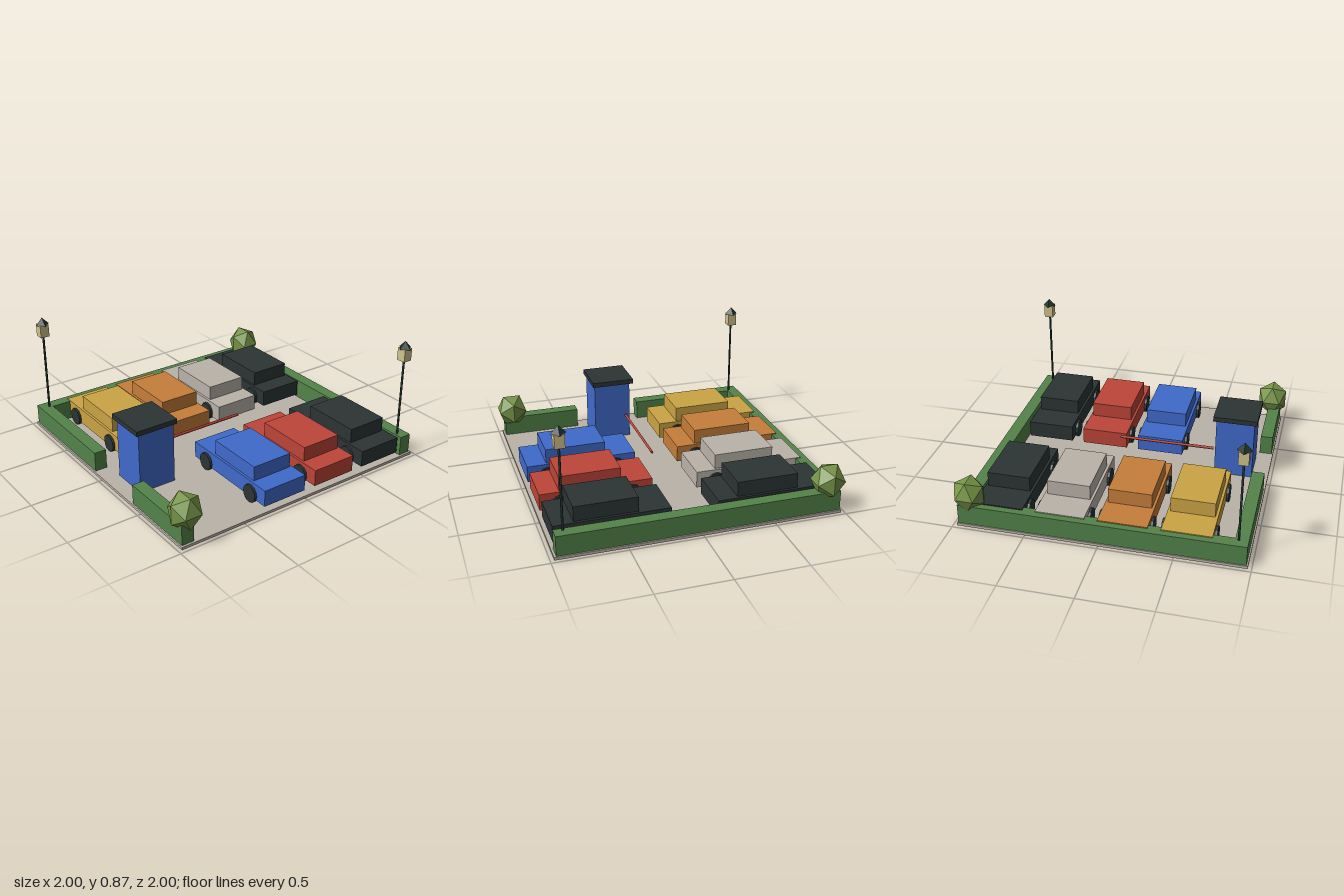
import * as THREE from 'three';

const mat = (name, color) => {
  const m = new THREE.MeshStandardMaterial({ color });
  m.name = name;
  return m;
};

export function createModel() {
  const concrete = mat('concrete grey', 0xbab3a9);
  const dark = mat('charcoal', 0x2c3434);
  const lampDark = mat('lamp dark green', 0x22352f);
  const hedgeGreen = mat('hedge green', 0x54834a);
  const bushGreen = mat('bush green', 0x779548);
  const lampGlass = mat('lantern cream', 0xd2c28c);
  const yellow = mat('yellow', 0xcba544);
  const orange = mat('orange', 0xc67e3b);
  const blue = mat('blue', 0x406acb);
  const red = mat('red', 0xbd4539);

  const model = new THREE.Group();
  model.name = 'parkingLot';

  const add = (parent, name, geometry, material, x, y, z) => {
    const mesh = new THREE.Mesh(geometry, material);
    mesh.name = name;
    mesh.position.set(x, y, z);
    parent.add(mesh);
    return mesh;
  };
  // Box given by its extents on each axis
  const block = (parent, name, material, [x0, x1], [y0, y1], [z0, z1]) =>
    add(parent, name, new THREE.BoxGeometry(x1 - x0, y1 - y0, z1 - z0), material,
      (x0 + x1) / 2, (y0 + y1) / 2, (z0 + z1) / 2);
  const group = (name, x, z) => {
    const g = new THREE.Group();
    g.name = name;
    g.position.set(x, 0, z);
    model.add(g);
    return g;
  };

  // Paved ground
  block(model, 'ground', concrete, [-0.975, 0.975], [0, 0.02], [-0.975, 0.975]);

  // Hedges, with a gap at the entrance
  const hedgeY = [0.01, 0.16];
  block(model, 'backHedge', hedgeGreen, [-0.965, 0.965], hedgeY, [-0.968, -0.885]);
  block(model, 'leftHedge', hedgeGreen, [0.877, 0.965], hedgeY, [-0.885, 0.96]);
  block(model, 'rightBackHedge', hedgeGreen, [-0.965, -0.877], hedgeY, [-0.885, -0.1]);
  block(model, 'rightFrontHedge', hedgeGreen, [-0.965, -0.877], hedgeY, [0.39, 0.96]);

  // Parked cars
  const wheelGeometry = new THREE.CylinderGeometry(0.0625, 0.0625, 0.04, 12).toNonIndexed();
  wheelGeometry.rotateZ(Math.PI / 2);
  wheelGeometry.computeVertexNormals();
  const car = (x, z, paint) => {
    const g = group('car', x, z);
    block(g, 'carBody', paint, [-0.167, 0.167], [0.05, 0.167], [-0.39, 0.39]);
    block(g, 'carCabin', paint, [-0.149, 0.149], [0.167, 0.271], [-0.175, 0.252]);
    for (const sx of [-1, 1])
      for (const sz of [-1, 1])
        add(g, 'wheel', wheelGeometry, dark, sx * 0.164, 0.082, sz * 0.247);
  };
  [yellow, orange, concrete, dark].forEach((paint, i) => car(-0.57 + i * 0.421, -0.532, paint));
  [blue, red, dark].forEach((paint, i) => car(-0.16 + i * 0.421, 0.565, paint));

  // Entrance booth and barrier
  block(model, 'boothBody', blue, [-0.86, -0.59], [0.01, 0.455], [0.042, 0.313]);
  block(model, 'boothRoof', dark, [-0.88, -0.57], [0.455, 0.49], [0.017, 0.328]);
  const arm = new THREE.CylinderGeometry(0.01, 0.01, 0.685, 6);
  arm.rotateZ(Math.PI / 2);
  add(model, 'barrierArm', arm, red, -0.23, 0.2, 0.078);

  // Corner lamps and bushes
  for (const s of [-1, 1]) {
    const lamp = group('lamp', s * 0.9, s * 0.9);
    add(lamp, 'lampPole', new THREE.CylinderGeometry(0.008, 0.008, 0.72, 6), lampDark, 0, 0.37, 0);
    block(lamp, 'lantern', lampGlass, [-0.033, 0.033], [0.73, 0.82], [-0.033, 0.033]);
    const cap = new THREE.ConeGeometry(0.05, 0.053, 4).toNonIndexed();
    cap.computeVertexNormals();
    add(lamp, 'lanternCap', cap, lampDark, 0, 0.844, 0);

    const leaves = new THREE.IcosahedronGeometry(0.131, 0);
    leaves.rotateY(Math.PI / 2);
    leaves.scale(0.9, 1, 0.9);
    leaves.computeVertexNormals();
    add(model, 'bush', leaves, bushGreen, s * 0.9, 0.218, -s * 0.9);
  }

  return model;
}
